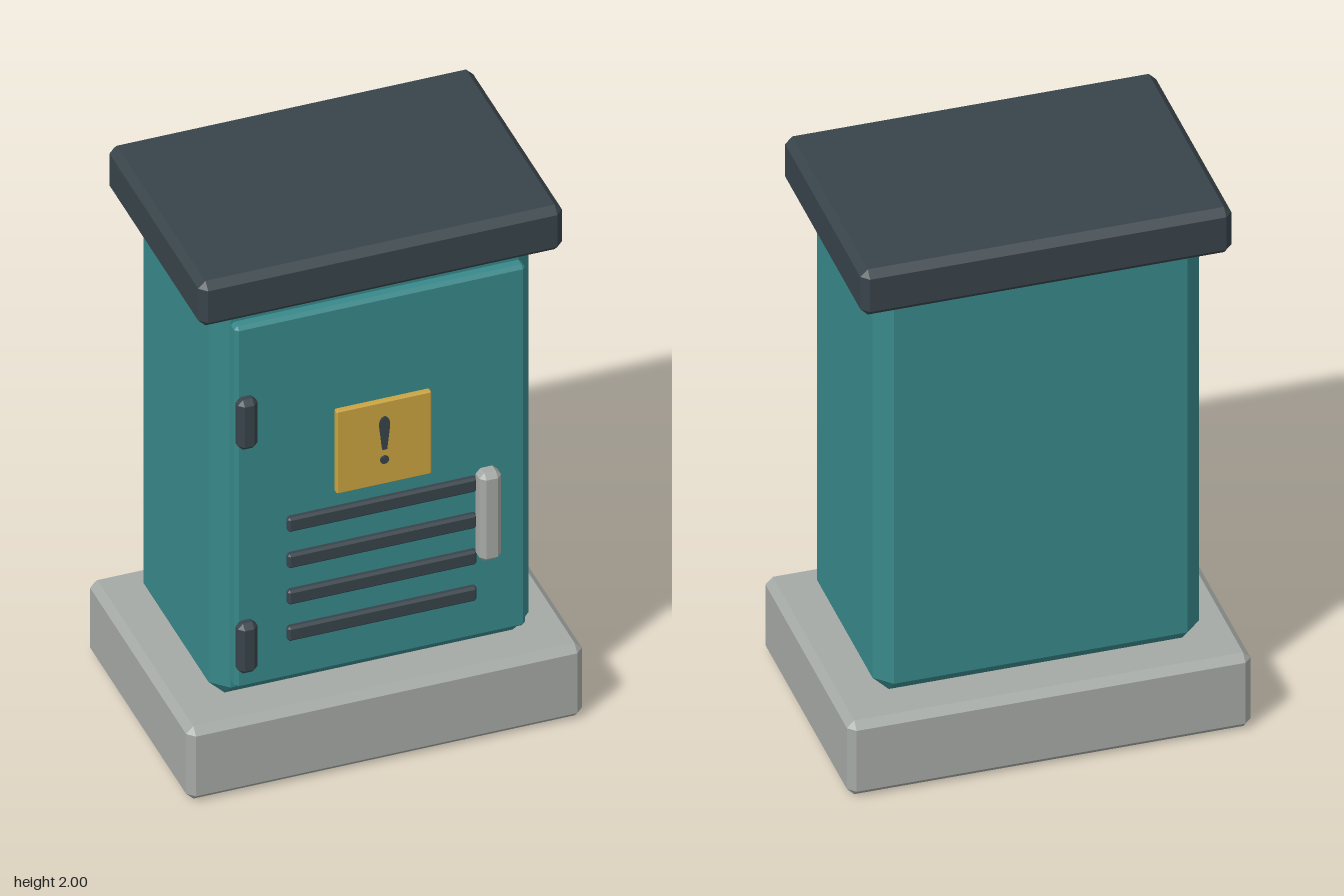
import * as THREE from 'three';
import { ConvexGeometry } from 'three/addons/geometries/ConvexGeometry.js';

const material = (name, color) => {
  const m = new THREE.MeshStandardMaterial({ color });
  m.name = name;
  return m;
};

// Box with every edge cut at 45 degrees, given by its [min, max] on each axis
function chamferBox([x0, x1], [y0, y1], [z0, z1], c) {
  const half = [(x1 - x0) / 2, (y1 - y0) / 2, (z1 - z0) / 2];
  const points = [];
  for (const sx of [-1, 1]) for (const sy of [-1, 1]) for (const sz of [-1, 1])
    for (let axis = 0; axis < 3; axis++) {
      const [x, y, z] = half.map((h, i) => (i === axis ? h : h - c));
      points.push(new THREE.Vector3(sx * x, sy * y, sz * z));
    }
  return new ConvexGeometry(points).translate((x0 + x1) / 2, (y0 + y1) / 2, (z0 + z1) / 2);
}

export function createModel() {
  const teal = material('teal paint', 0x38888a);
  const dark = material('dark slate', 0x38434a);
  const grey = material('pale grey', 0xa5a9a5);
  const yellow = material('warning yellow', 0xcba441);

  const group = new THREE.Group();
  group.name = 'utilityCabinet';
  const add = (name, geometry, mat) => {
    const mesh = new THREE.Mesh(geometry, mat);
    mesh.name = name;
    group.add(mesh);
  };

  // Plinth, cabinet, roof and door
  add('plinth', chamferBox([-0.68, 0.68], [0, 0.285], [-0.465, 0.455], 0.025), grey);
  add('cabinetBody', chamferBox([-0.55, 0.55], [0.285, 1.88], [-0.355, 0.345], 0.055), teal);
  add('roof', chamferBox([-0.625, 0.625], [1.825, 2], [-0.435, 0.42], 0.025), dark);
  add('door', chamferBox([-0.5, 0.5], [0.37, 1.79], [0.35, 0.402], 0.012), teal);

  // Ventilation slats
  for (let i = 0; i < 4; i++) {
    const y = 0.553 + i * 0.143;
    add('ventSlat' + (i + 1), chamferBox([-0.325, 0.325], [y - 0.028, y + 0.028], [0.39, 0.422], 0.008), dark);
  }

  // Hinges and handle
  add('lowerHinge', chamferBox([-0.505, -0.437], [0.455, 0.65], [0.4, 0.455], 0.018), dark);
  add('upperHinge', chamferBox([-0.505, -0.437], [1.335, 1.53], [0.4, 0.455], 0.018), dark);
  add('handle', chamferBox([0.32, 0.395], [0.7, 1.045], [0.4, 0.468], 0.018), grey);

  // Warning plate with its exclamation mark
  add('warningPlate', chamferBox([-0.163, 0.163], [1.075, 1.4], [0.41, 0.433], 0.004), yellow);
  const stroke = new THREE.Shape();
  stroke.moveTo(-0.008, 1.215);
  stroke.lineTo(0.008, 1.215);
  stroke.lineTo(0.018, 1.305);
  stroke.bezierCurveTo(0.02, 1.325, 0.012, 1.343, 0, 1.343);
  stroke.bezierCurveTo(-0.012, 1.343, -0.02, 1.325, -0.018, 1.305);
  stroke.closePath();
  const flat = { depth: 0.007, bevelEnabled: false, curveSegments: 6 };
  add('markStroke', new THREE.ExtrudeGeometry(stroke, flat).translate(0, 0, 0.432), dark);
  const dot = new THREE.CylinderGeometry(0.015, 0.015, 0.007, 16).rotateX(Math.PI / 2);
  add('markDot', dot.translate(0, 1.174, 0.4355), dark);

  return group;
}
